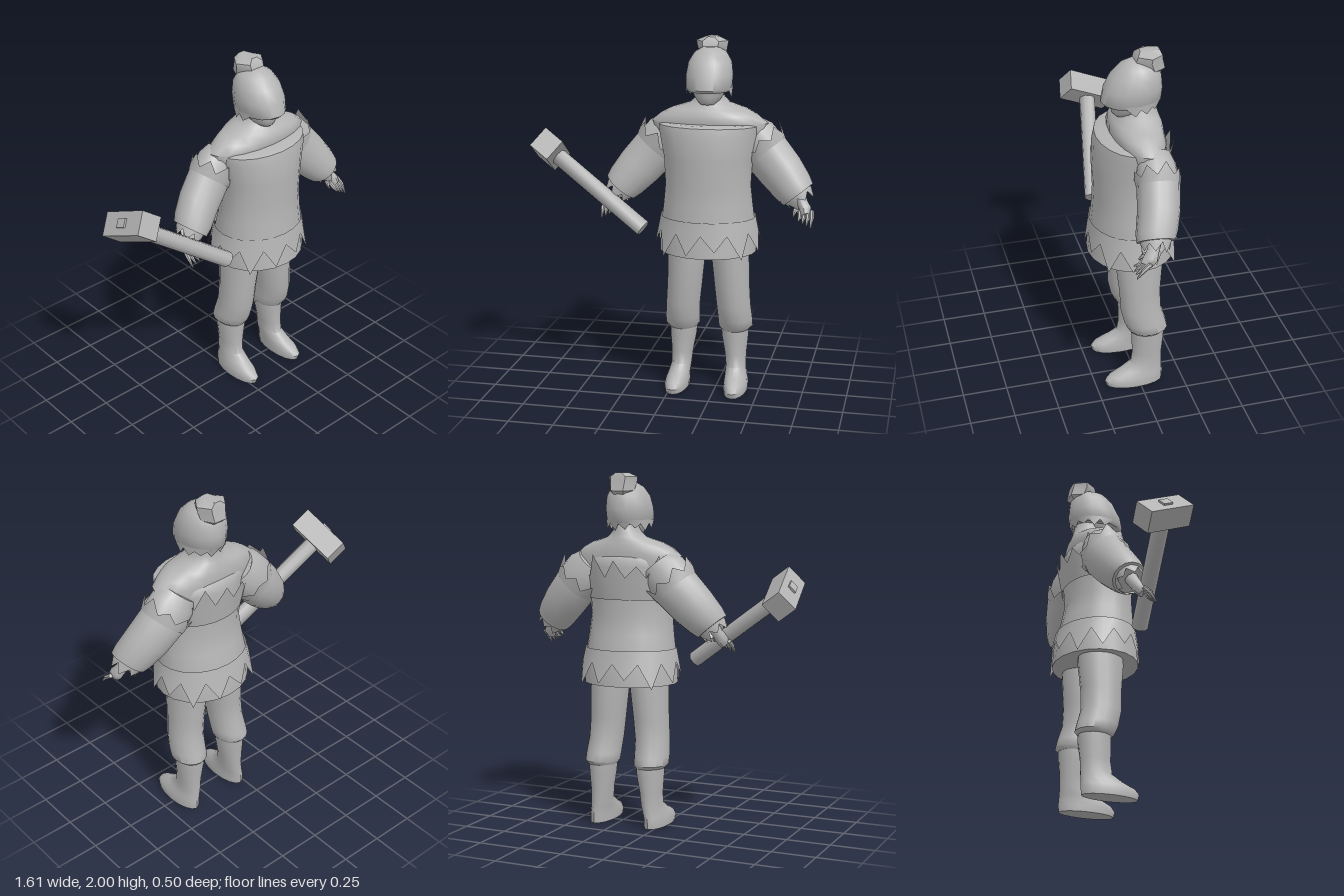
import * as THREE from 'three';
import { toCreasedNormals } from 'three/addons/utils/BufferGeometryUtils.js';

const CX = 0.2; // the figure's own centre line
const grey = new THREE.MeshStandardMaterial({ color: 0xb4b4b4 });
grey.name = 'grey';
const greyCloth = grey;
greyCloth.side = THREE.DoubleSide;

// Elliptical ring [x, y, z, rx, rz] whose axis is turned from +y to dir
function ringPoint([x, y, z, rx, rz], a, q) {
  return new THREE.Vector3(Math.cos(a) * rx, 0, Math.sin(a) * rz)
    .applyQuaternion(q).add(new THREE.Vector3(x, y, z));
}

function turn(dir) {
  const d = new THREE.Vector3(...(dir || [0, 1, 0])).normalize();
  return new THREE.Quaternion().setFromUnitVectors(new THREE.Vector3(0, 1, 0), d);
}

function build(name, pos, idx, crease) {
  const g = new THREE.BufferGeometry();
  g.setAttribute('position', new THREE.Float32BufferAttribute(pos, 3));
  g.setIndex(idx);
  const mesh = new THREE.Mesh(toCreasedNormals(g, crease), greyCloth);
  mesh.name = name;
  return mesh;
}

// Closed skin through a stack of rings
function loft(name, rings, { dir, seg = 16, crease = 0.9 } = {}) {
  const q = turn(dir), pos = [], idx = [], n = rings.length;
  for (const r of rings)
    for (let j = 0; j < seg; j++) pos.push(...ringPoint(r, (j / seg) * Math.PI * 2, q).toArray());
  pos.push(...rings[0].slice(0, 3), ...rings[n - 1].slice(0, 3));
  for (let j = 0; j < seg; j++) {
    const k = (j + 1) % seg, top = (n - 1) * seg;
    for (let i = 0; i < n - 1; i++) {
      const a = i * seg + j, b = i * seg + k;
      idx.push(a, a + seg, b + seg, a, b + seg, b);
    }
    idx.push(n * seg, j, k, n * seg + 1, top + k, top + j);
  }
  return build(name, pos, idx, crease);
}

// Torn cloth band: straight edge on ring A, teeth reaching ring B
function torn(name, A, B, teeth, { dir, notch = 0.35, from = 0, to = Math.PI * 2 } = {}) {
  const q = turn(dir), pos = [], idx = [], n = teeth * 2;
  for (let j = 0; j <= n; j++) {
    const a = from + ((to - from) * j) / n;
    const p = ringPoint(A, a, q), e = ringPoint(B, a, q);
    const reach = j % 2 ? 1 - 0.12 * (j % 3) : notch;
    pos.push(...p.toArray(), ...p.lerp(e, reach).toArray());
    if (j < n) idx.push(2 * j, 2 * j + 2, 2 * j + 3, 2 * j, 2 * j + 3, 2 * j + 1);
  }
  return build(name, pos, idx, 0.9);
}

// Ring given by height, half width, front z and back z
const body = ([y, rx, front, back], x = CX) => [x, y, (front + back) / 2, rx, (front - back) / 2];
const stack = (rows, x) => rows.map((r) => body(r, x));

function head() {
  const g = new THREE.Group();
  g.name = 'head';
  g.add(loft('face', stack([
    [1.645, 0.04, 0.095, 0.0], [1.665, 0.062, 0.112, -0.05],
    [1.69, 0.08, 0.115, -0.08], [1.75, 0.1, 0.13, -0.1]])));
  g.add(loft('hair', stack([
    [1.715, 0.115, 0.155, -0.14], [1.73, 0.125, 0.17, -0.155], [1.8, 0.13, 0.155, -0.162],
    [1.87, 0.12, 0.118, -0.155], [1.92, 0.09, 0.07, -0.13], [1.95, 0.04, 0.02, -0.08]])));
  g.add(torn('hairEnds', body([1.74, 0.128, 0.165, -0.155]), body([1.68, 0.125, 0.12, -0.13]), 8,
    { from: Math.PI * 0.88, to: Math.PI * 2.12 }));
  g.add(loft('hairBun', stack([
    [1.86, 0.04, -0.05, -0.13], [1.9, 0.075, -0.025, -0.177], [1.95, 0.085, 0, -0.165],
    [1.977, 0.09, -0.01, -0.16], [2.0, 0.035, -0.03, -0.15]]), { seg: 6, crease: 0.5 }));
  return g;
}

function clothes() {
  const g = new THREE.Group();
  g.name = 'clothes';
  g.add(loft('tunic', stack([
    [0.82, 0.272, 0.25, -0.235], [0.95, 0.268, 0.235, -0.225], [1.1, 0.25, 0.218, -0.185],
    [1.2, 0.24, 0.212, -0.165], [1.35, 0.248, 0.217, -0.175], [1.48, 0.275, 0.21, -0.18],
    [1.53, 0.28, 0.197, -0.17], [1.54, 0.26, 0.17, -0.16]]), { seg: 20 }));
  g.add(loft('shoulders', stack([
    [1.46, 0.31, 0.1, -0.15], [1.54, 0.325, 0.12, -0.16], [1.585, 0.27, 0.12, -0.155],
    [1.615, 0.21, 0.1, -0.15], [1.645, 0.11, 0.07, -0.14],
    [1.68, 0.075, 0.05, -0.13], [1.74, 0.07, 0.04, -0.12]]), { seg: 20 }));
  g.add(torn('tornHem', body([1.02, 0.268, 0.235, -0.218]), body([0.81, 0.31, 0.264, -0.264]), 12));
  g.add(torn('tornBack', body([1.3, 0.25, 0.2, -0.18]), body([1.55, 0.31, 0.22, -0.22]), 7,
    { notch: 0.5, from: Math.PI, to: Math.PI * 2 }));
  return g;
}

// Side s is +1 for the model's left, -1 for its right
function arm(s) {
  const g = new THREE.Group();
  g.name = s > 0 ? 'leftArm' : 'rightArm';
  const at = (x, ...r) => [CX + s * x, ...r];
  const dir = [s * 0.64, -0.77, 0.08];
  g.add(loft('sleeve', [
    at(0.2, 1.5, -0.06, 0.1, 0.09), at(0.24, 1.455, -0.062, 0.13, 0.105),
    at(0.31, 1.37, -0.058, 0.135, 0.113), at(0.4, 1.27, -0.035, 0.128, 0.113),
    at(0.47, 1.19, -0.005, 0.113, 0.11), at(0.5, 1.155, 0.008, 0.1, 0.1)], { dir }));
  g.add(torn('shoulderTatters', at(0.31, 1.37, -0.058, 0.137, 0.116),
    at(0.255, 1.45, -0.06, 0.16, 0.13), 8, { dir }));
  g.add(torn('cuffTatters', at(0.49, 1.165, 0.005, 0.09, 0.085),
    at(0.54, 1.1, 0.02, 0.07, 0.07), 7, { dir }));
  g.add(loft('hand', [
    at(0.5, 1.16, 0.015, 0.04, 0.035), at(0.525, 1.115, 0.03, 0.035, 0.032),
    at(0.545, 1.08, 0.05, 0.042, 0.035), at(0.55, 1.055, 0.07, 0.035, 0.025)],
  { dir: [s * 0.4, -0.8, 0.4], seg: 8 }));
  // Fingers fan out and curl forward
  for (let i = 0; i < 4; i++) {
    const x = 0.515 + i * 0.022, tip = 1.035 - i * 0.012;
    g.add(loft('finger', [
      at(x, 1.075, 0.055, 0.013, 0.013), at(x + 0.005, 1.045, 0.095, 0.012, 0.012),
      at(x + 0.002, tip, 0.13, 0.004, 0.004)], { dir: [0, -0.6, 0.7], seg: 6 }));
  }
  g.add(loft('thumb', [
    at(0.52, 1.1, 0.035, 0.015, 0.015), at(0.49, 1.075, 0.07, 0.013, 0.013),
    at(0.485, 1.05, 0.095, 0.004, 0.004)], { dir: [-s * 0.5, -0.6, 0.6], seg: 6 }));
  return g;
}

function leg(s) {
  const g = new THREE.Group();
  g.name = s > 0 ? 'leftLeg' : 'rightLeg';
  const rows = (list) => list.map(([x, ...r]) => body(r, CX + s * x));
  g.add(loft('trouserLeg', rows([
    [0.15, 0.345, 0.082, 0.045, -0.15], [0.153, 0.365, 0.098, 0.06, -0.167],
    [0.152, 0.41, 0.098, 0.08, -0.157], [0.145, 0.5, 0.097, 0.1, -0.13],
    [0.135, 0.62, 0.1, 0.105, -0.128], [0.125, 0.78, 0.106, 0.122, -0.142],
    [0.12, 0.9, 0.105, 0.12, -0.14]])));
  g.add(loft('boot', rows([
    [0.17, 0, 0.065, 0.19, -0.137], [0.17, 0.03, 0.068, 0.2, -0.14],
    [0.168, 0.06, 0.064, 0.175, -0.14], [0.163, 0.09, 0.06, 0.11, -0.138],
    [0.158, 0.13, 0.057, 0.045, -0.138], [0.155, 0.2, 0.062, 0.035, -0.138],
    [0.15, 0.3, 0.076, 0.038, -0.148], [0.148, 0.37, 0.08, 0.04, -0.15]])));
  return g;
}

function hammer() {
  const g = new THREE.Group();
  g.name = 'hammer';
  const axis = new THREE.Vector3(0.57, -0.41, 0.108).normalize();
  const long = new THREE.Vector3(0.13, 0.4, 0.9);
  long.addScaledVector(axis, -long.dot(axis)).normalize();
  const basis = new THREE.Matrix4().makeBasis(new THREE.Vector3().crossVectors(axis, long), axis, long);
  const block = new THREE.Mesh(new THREE.BoxGeometry(0.132, 0.126, 0.29), grey);
  block.name = 'hammerHead';
  const handle = new THREE.Mesh(
    toCreasedNormals(new THREE.CylinderGeometry(0.046, 0.046, 0.7, 8), 0.9), grey);
  handle.name = 'hammerHandle';
  handle.position.y = 0.35;
  const peg = new THREE.Mesh(new THREE.BoxGeometry(0.05, 0.02, 0.06), grey);
  peg.name = 'handlePeg';
  peg.position.y = -0.064;
  g.add(block, handle, peg);
  g.quaternion.setFromRotationMatrix(basis);
  g.position.set(-0.706, 1.353, 0.028);
  return g;
}

export function createModel() {
  const model = new THREE.Group();
  model.name = 'hammerBearer';
  model.add(head(), clothes(), hammer());
  for (const s of [1, -1]) model.add(arm(s), leg(s));
  return model;
}
